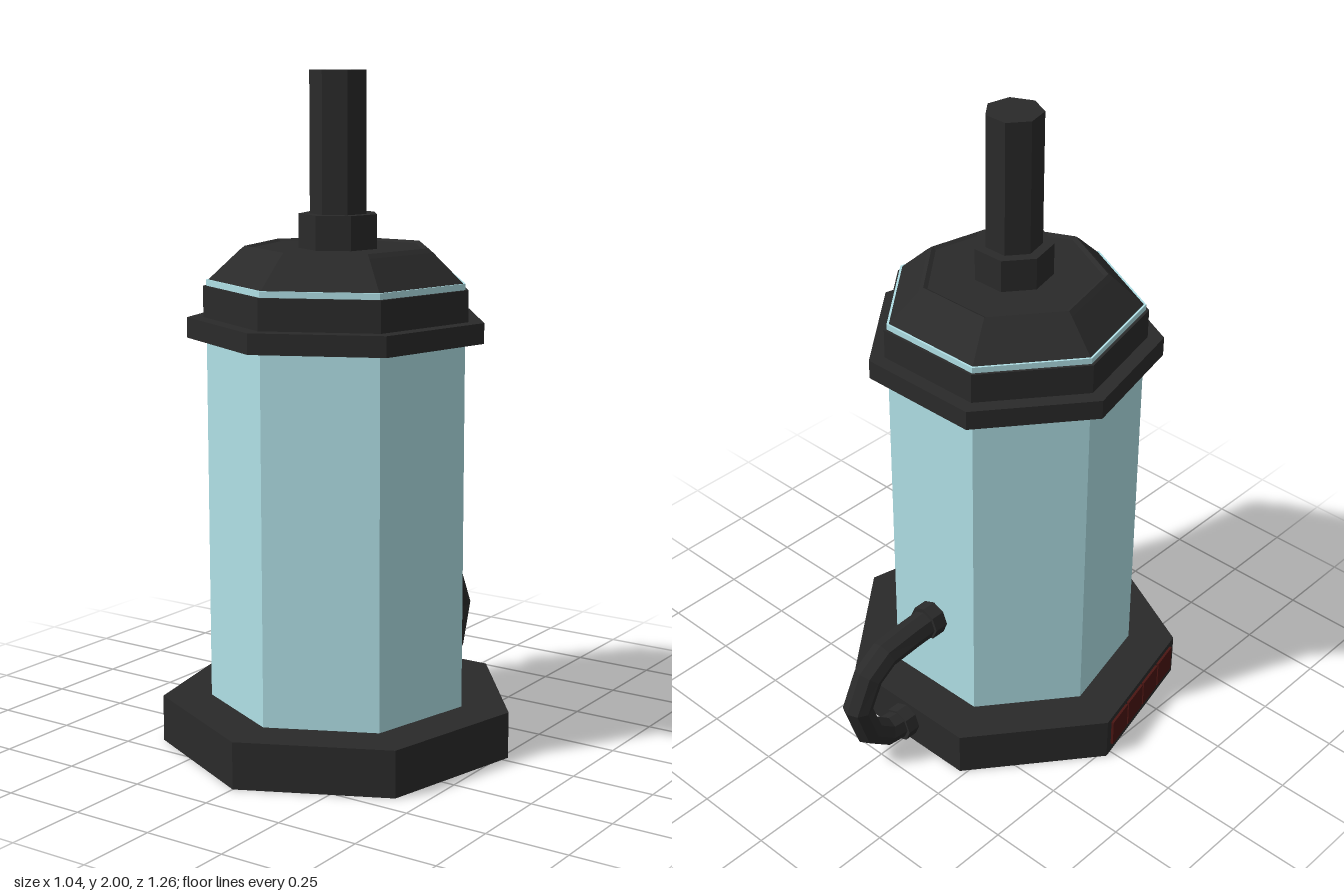
import * as THREE from 'three';

const SIDES = 7;
const mat = (color) => new THREE.MeshStandardMaterial({ color, flatShading: true });

export function createModel() {
  const root = new THREE.Group();
  root.name = 'tank';
  const dark = mat(0x2a2a2a), glass = mat(0xb0e0e6), red = mat(0x4a1512);

  const add = (parent, name, geometry, material) => {
    const mesh = new THREE.Mesh(geometry, material);
    mesh.name = name;
    parent.add(mesh);
    return mesh;
  };

  // Seven-sided body, one corner facing the front
  const body = new THREE.Group();
  body.name = 'body';
  body.position.z = 0.096;
  root.add(body);
  const prism = (name, r, y0, y1, material) => {
    const m = add(body, name, new THREE.CylinderGeometry(r, r, y1 - y0, SIDES), material);
    m.position.y = (y0 + y1) / 2;
  };
  prism('base', 0.534, 0, 0.14, dark);
  prism('glassTank', 0.388, 0.14, 1.4, glass);
  prism('flange', 0.445, 1.23, 1.29, dark);
  prism('collar', 0.397, 1.29, 1.382, dark);
  prism('neck', 0.118, 1.48, 1.59, dark);
  prism('topPipe', 0.085, 1.58, 2, dark);

  // Sloped cap with a small lip around the top
  const capProfile = [[0, 1.4], [0.381, 1.4], [0.29, 1.485], [0.275, 1.497], [0.262, 1.49], [0, 1.49]];
  add(body, 'cap', new THREE.LatheGeometry(capProfile.map(([r, y]) => new THREE.Vector2(r, y)), SIDES), dark);

  // Row of four red panels on one base face
  const panels = new THREE.Group();
  panels.name = 'panels';
  panels.rotation.y = -1.5 * (2 * Math.PI / SIDES);
  body.add(panels);
  for (let i = 0; i < 4; i++) {
    const panel = add(panels, 'panel', new THREE.BoxGeometry(0.097, 0.09, 0.02), red);
    panel.position.set((i - 1.5) * 0.105, 0.077, 0.479);
  }

  // Rear hose: the rings sit exactly on the path points
  const path = [[0.41, -0.24], [0.405, -0.36], [0.395, -0.47], [0.35, -0.54], [0.255, -0.588],
    [0.14, -0.55], [0.085, -0.48], [0.072, -0.38]].map(([y, z]) => new THREE.Vector3(0, y, z));
  const curve = new THREE.CatmullRomCurve3(path);
  curve.getPointAt = (u, target) => curve.getPoint(u, target);
  curve.getTangentAt = (u, target) => curve.getTangent(u, target);
  add(root, 'hose', new THREE.TubeGeometry(curve, path.length - 1, 0.046, 8), dark);

  // Fittings where the hose meets the tank and the base
  for (const [y, z] of [[0.412, -0.272], [0.075, -0.4]]) {
    const fitting = add(root, 'hoseFitting', new THREE.CylinderGeometry(0.055, 0.055, 0.055, 8), dark);
    fitting.rotation.x = Math.PI / 2;
    fitting.position.set(0, y, z);
  }
  return root;
}
